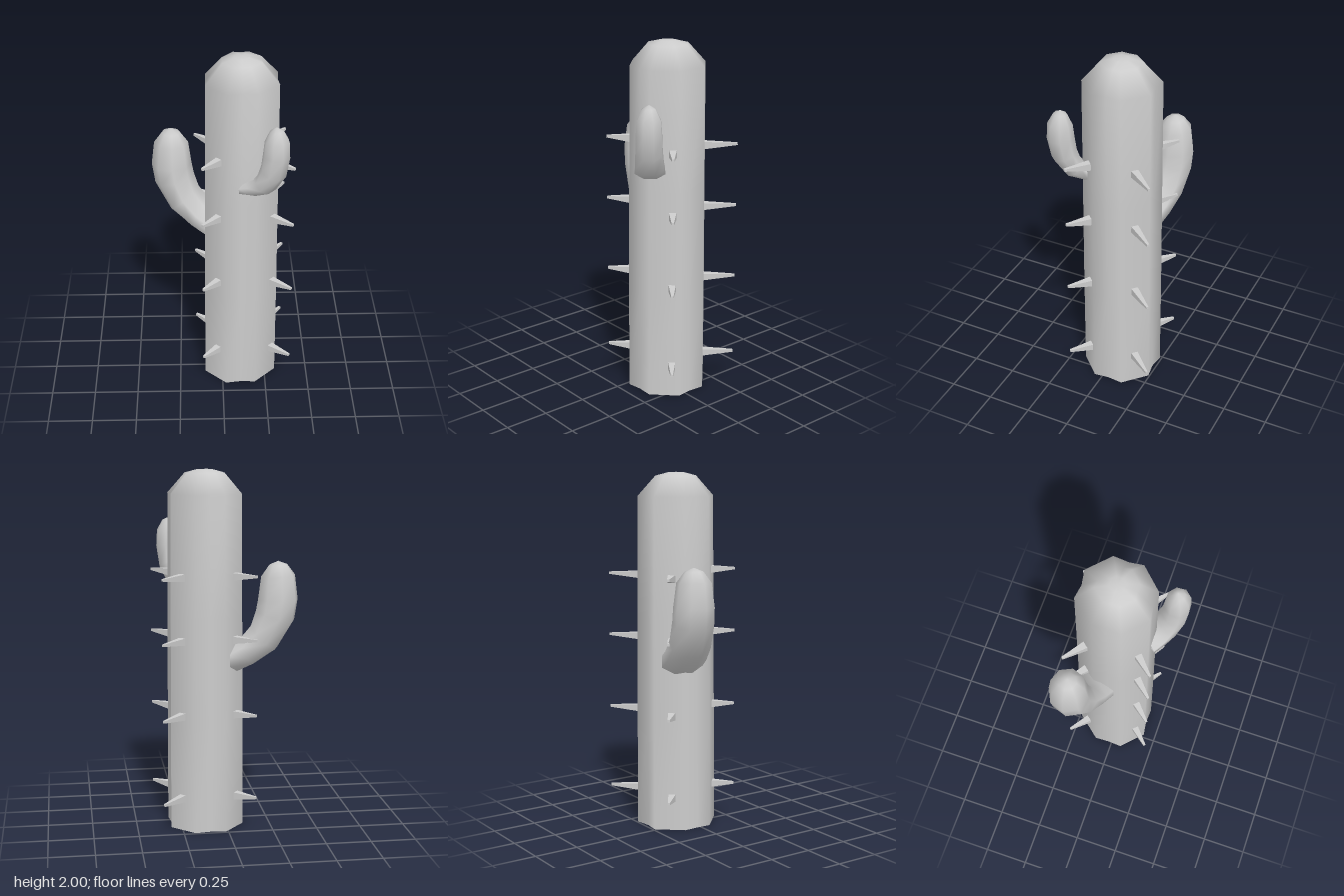
import * as THREE from 'three';

const material = new THREE.MeshStandardMaterial({ color: 0xcccccc, side: THREE.DoubleSide });
const spikeMaterial = new THREE.MeshStandardMaterial({ color: 0xcccccc, flatShading: true });

// Skin a list of rings (arrays of Vector3), closed at the end by a pole point
function loft(name, rings, pole) {
  const n = rings[0].length;
  const points = [...rings.flat(), pole];
  const index = [];
  const last = (rings.length - 1) * n;
  for (let j = 0; j < n; j++) {
    const k = (j + 1) % n;
    for (let i = 0; i < rings.length - 1; i++) {
      const a = i * n + j, b = i * n + k;
      index.push(a, a + n, b, b, a + n, b + n);
    }
    index.push(last + j, points.length - 1, last + k);
  }
  const geometry = new THREE.BufferGeometry().setFromPoints(points);
  geometry.setIndex(index);
  geometry.computeVertexNormals();
  const mesh = new THREE.Mesh(geometry, material);
  mesh.name = name;
  return mesh;
}

// Ribbed trunk: one outline repeated at several heights, open underneath
function makeTrunk() {
  const outline = [
    [0.015, -0.24], [0.097, -0.228], [0.185, -0.243], [0.31, -0.125], [0.302, -0.035], [0.312, 0.047],
    [0.19, 0.17], [0.103, 0.166], [0.02, 0.178], [-0.102, 0.06], [-0.097, -0.022], [-0.1, -0.105],
  ];
  const cx = 0.102, cz = -0.03;
  const levels = [[0, 1], [0.6, 0.99], [1.2, 0.97], [1.87, 0.95], [1.98, 0.51], [1.998, 0.2]];
  const rings = levels.map(([y, s]) =>
    outline.map(([x, z]) => new THREE.Vector3(cx + (x - cx) * s, y, cz + (z - cz) * s)));
  return loft('trunk', rings, new THREE.Vector3(cx, 2, cz));
}

// Arm bending upward in a vertical plane.
// Each section: distance along heading, height, tilt in degrees, half width, half thickness
function makeArm(name, start, heading, sections, top) {
  const dir = new THREE.Vector3(heading[0], 0, heading[1]).normalize();
  const up = new THREE.Vector3(0, 1, 0);
  const side = new THREE.Vector3().crossVectors(dir, up);
  const at = (d, y) => new THREE.Vector3(start[0], y, start[1]).addScaledVector(dir, d);
  const rings = sections.map(([d, y, tilt, w, h]) => {
    const t = THREE.MathUtils.degToRad(tilt);
    const normal = up.clone().multiplyScalar(Math.cos(t)).addScaledVector(dir, -Math.sin(t));
    return Array.from({ length: 8 }, (_, i) => {
      const a = (i + 0.5) / 8 * Math.PI * 2;
      return at(d, y)
        .addScaledVector(side, Math.cos(a) * w * 1.05)
        .addScaledVector(normal, Math.sin(a) * h * 1.05);
    });
  });
  return loft(name, rings, at(...top));
}

// Tapered square spike running from base to tip
function makeSpike(base, tip, y) {
  const from = new THREE.Vector3(base[0], y - 0.004, base[1]);
  const to = new THREE.Vector3(tip[0], y + 0.004, tip[1]);
  const length = from.distanceTo(to);
  const geometry = new THREE.CylinderGeometry(0.009, 0.03, length, 4);
  geometry.rotateY(Math.PI / 4);
  geometry.translate(0, length / 2, 0);
  geometry.rotateX(Math.PI / 2);
  const mesh = new THREE.Mesh(geometry, spikeMaterial);
  mesh.name = 'spike';
  mesh.position.copy(from);
  mesh.lookAt(to);
  return mesh;
}

export function createModel() {
  const model = new THREE.Group();
  model.name = 'cactus';
  model.add(makeTrunk());

  model.add(makeArm('rightArm', [-0.03, -0.085], [-0.255, -0.09], [
    [0.01, 0.96, 25, 0.12, 0.075],
    [0.1, 1.01, 30, 0.115, 0.08],
    [0.19, 1.09, 47, 0.11, 0.095],
    [0.25, 1.21, 75, 0.108, 0.106],
    [0.265, 1.3, 90, 0.106, 0.106],
    [0.265, 1.43, 92, 0.09, 0.09],
    [0.265, 1.49, 92, 0.048, 0.048],
  ], [0.265, 1.51]));

  model.add(makeArm('leftArm', [0.165, 0.14], [0.115, 0.103], [
    [-0.03, 1.312, 5, 0.09, 0.035],
    [0.03, 1.33, 15, 0.085, 0.045],
    [0.09, 1.375, 40, 0.078, 0.06],
    [0.135, 1.46, 68, 0.073, 0.068],
    [0.152, 1.56, 85, 0.07, 0.07],
    [0.153, 1.64, 95, 0.064, 0.064],
    [0.15, 1.7, 95, 0.035, 0.035],
  ], [0.148, 1.72]));

  // Four columns of spikes on the diagonals
  const spikes = new THREE.Group();
  spikes.name = 'spikes';
  const columns = [
    { base: [0.235, -0.165], tip: [0.363, -0.312], lift: 0 },
    { base: [0.27, 0.07], tip: [0.386, 0.167], lift: 0 },
    { base: [-0.01, 0.115], tip: [-0.112, 0.222], lift: 0.035 },
    { base: [-0.04, -0.155], tip: [-0.152, -0.252], lift: 0 },
  ];
  for (const { base, tip, lift } of columns) {
    for (const y of [0.19, 0.66, 1.08, 1.43]) spikes.add(makeSpike(base, tip, y + lift));
  }
  model.add(spikes);
  return model;
}
